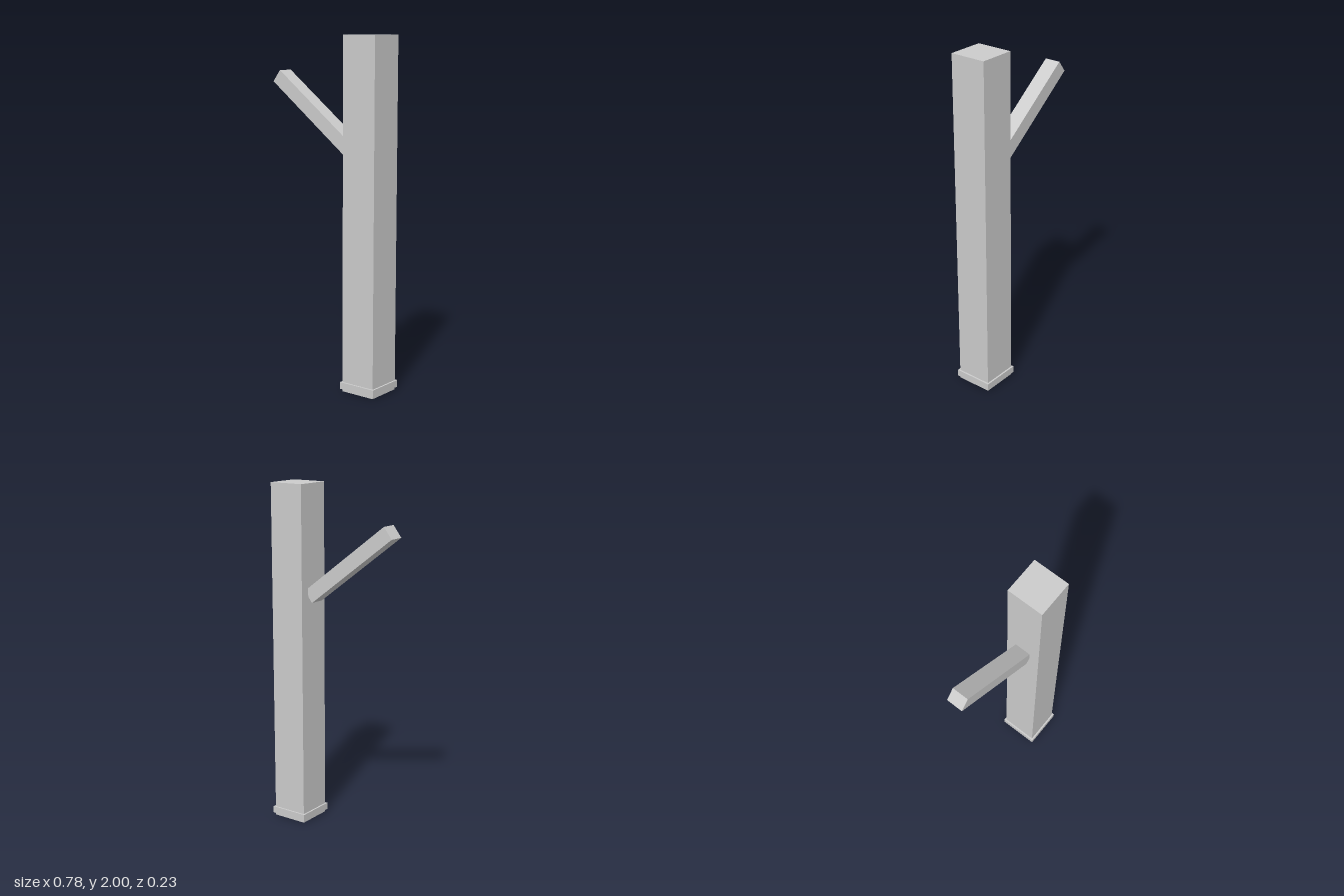
import * as THREE from 'three';

export function createModel() {
  const group = new THREE.Group();
  const material = new THREE.MeshStandardMaterial({ color: 0xcccccc, flatShading: true });

  const addBox = (name, size, position, tilt = 0) => {
    const mesh = new THREE.Mesh(new THREE.BoxGeometry(...size), material);
    mesh.name = name;
    mesh.position.set(...position);
    mesh.rotation.z = tilt;
    group.add(mesh);
  };

  const postX = 0.273;

  // Upright square post
  addBox('post', [0.213, 2, 0.213], [postX, 1, 0]);

  // Thin collar just above the foot of the post
  addBox('baseCollar', [0.233, 0.04, 0.233], [postX, 0.035, 0]);

  // Slanted arm, its lower end set into the side of the post
  addBox('arm', [0.667, 0.082, 0.095], [-0.1, 1.565, 0], -0.652);

  return group;
}
